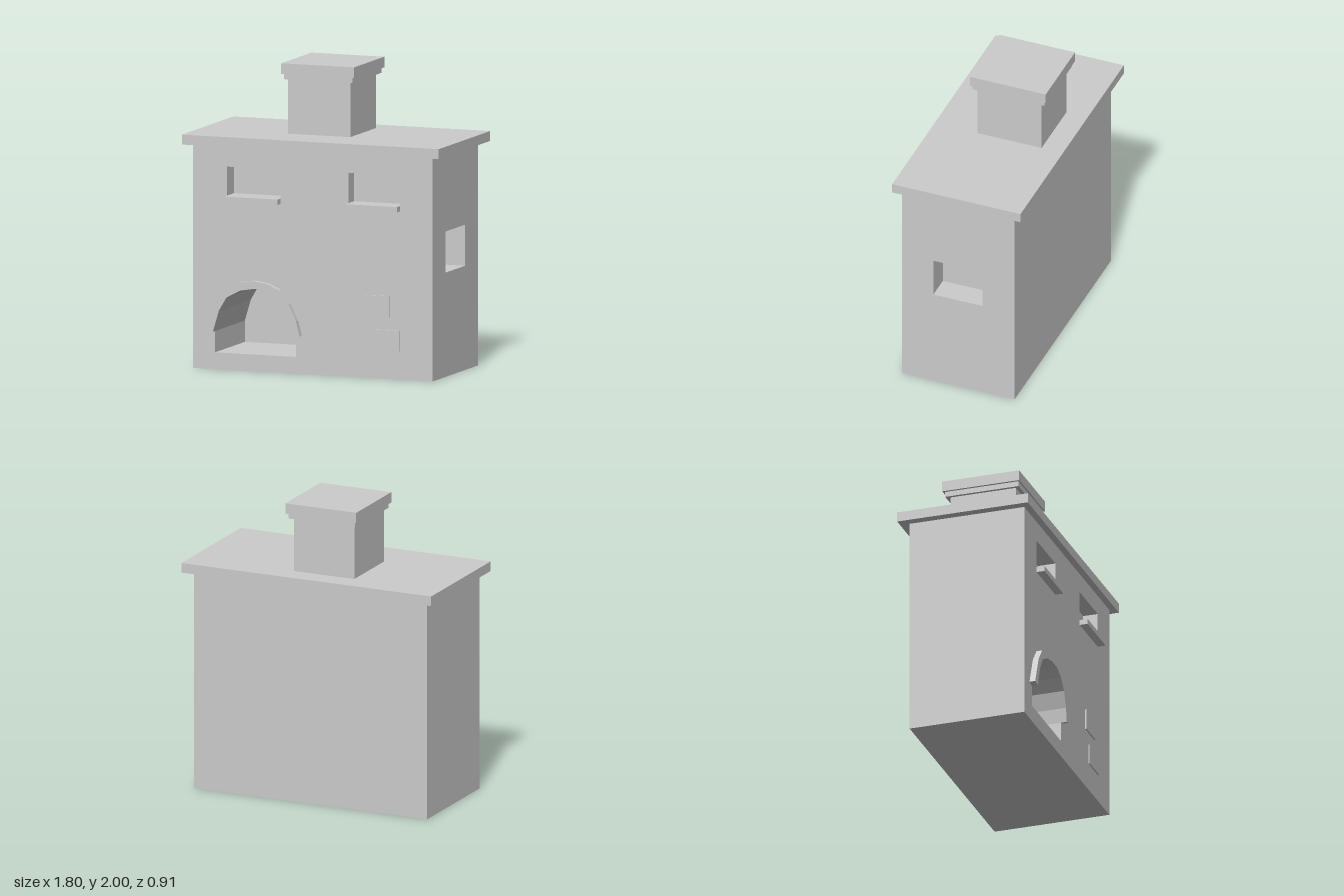
import * as THREE from 'three';

const mat = new THREE.MeshStandardMaterial({ color: 0xcccccc, flatShading: true });

function mesh(name, geo) {
  const m = new THREE.Mesh(geo, mat);
  m.name = name;
  return m;
}

// Box given by its limits on each axis
function block(name, [x0, x1], [y0, y1], [z0, z1]) {
  const m = mesh(name, new THREE.BoxGeometry(x1 - x0, y1 - y0, z1 - z0));
  m.position.set((x0 + x1) / 2, (y0 + y1) / 2, (z0 + z1) / 2);
  return m;
}

const points = (list) => list.map(([x, y]) => new THREE.Vector2(x, y));
const rect = (x0, x1, y0, y1) => points([[x0, y0], [x1, y0], [x1, y1], [x0, y1]]);

// Inward-facing walls and back of a recess; outline runs counter-clockwise
function recess(name, outline, depth) {
  const group = new THREE.Group();
  group.name = name;
  const pos = [];
  outline.forEach((a, i) => {
    const b = outline[(i + 1) % outline.length];
    pos.push(a.x, a.y, 0, b.x, b.y, 0, b.x, b.y, -depth);
    pos.push(a.x, a.y, 0, b.x, b.y, -depth, a.x, a.y, -depth);
  });
  const walls = new THREE.BufferGeometry();
  walls.setAttribute('position', new THREE.Float32BufferAttribute(pos, 3));
  walls.computeVertexNormals();
  const back = mesh(name + 'Back', new THREE.ShapeGeometry(new THREE.Shape(outline)));
  back.position.z = -depth;
  group.add(mesh(name + 'Walls', walls), back);
  return group;
}

// Flat wall facing local +z, pierced by recesses
function wall(name, outline, recesses = []) {
  const group = new THREE.Group();
  group.name = name;
  const shape = new THREE.Shape(outline);
  for (const r of recesses) {
    shape.holes.push(new THREE.Path(r.outline));
    group.add(recess(r.name, r.outline, r.depth));
  }
  group.add(mesh(name + 'Face', new THREE.ShapeGeometry(shape)));
  return group;
}

export function createModel() {
  const model = new THREE.Group();
  model.name = 'stove';
  const W = 0.84, H = 1.47, F = 0.4, B = -0.39;

  // Hearth arch, left to right
  const inner = [[-0.685, 0.25], [-0.643, 0.39], [-0.59, 0.48], [-0.495, 0.53], [-0.4, 0.547],
    [-0.305, 0.545], [-0.23, 0.51], [-0.168, 0.44], [-0.13, 0.335], [-0.117, 0.24]];
  const outer = [[-0.738, 0.26], [-0.67, 0.45], [-0.6, 0.54], [-0.5, 0.583], [-0.4, 0.598],
    [-0.305, 0.583], [-0.22, 0.545], [-0.155, 0.46], [-0.103, 0.35], [-0.077, 0.25]];
  const hearth = points([[-0.685, 0.11], [-0.117, 0.11], ...[...inner].reverse()]);

  // Body walls
  const front = wall('frontWall', rect(-W, W, 0, H), [
    { name: 'hearth', outline: hearth, depth: 0.52 },
    { name: 'rightNiche', outline: rect(-0.6, -0.225, 1.145, 1.335), depth: 0.12 },
    { name: 'leftNiche', outline: rect(0.25, 0.61, 1.14, 1.34), depth: 0.1 },
  ]);
  front.position.z = F;
  const left = wall('leftWall', rect(-F, -B, 0, H), [
    { name: 'sideNiche', outline: rect(-0.18, 0.165, 0.685, 0.955), depth: 0.165 },
  ]);
  left.position.x = W;
  left.rotation.y = Math.PI / 2;
  const right = wall('rightWall', rect(B, F, 0, H));
  right.position.x = -W;
  right.rotation.y = -Math.PI / 2;
  const back = wall('backWall', rect(-W, W, 0, H));
  back.position.z = B;
  back.rotation.y = Math.PI;
  const base = wall('base', rect(-W, W, B, F));
  base.rotation.x = Math.PI / 2;
  model.add(front, left, right, back, base);

  // Raised moulding around the hearth
  const arch = mesh('hearthArch', new THREE.ExtrudeGeometry(
    new THREE.Shape(points([...outer, ...[...inner].reverse()])),
    { depth: 0.04, bevelEnabled: false }));
  arch.position.z = F;
  model.add(arch);

  // Niche shelves and the two thin raised panels
  model.add(
    block('rightShelf', [-0.595, -0.225], [1.11, 1.145], [F, 0.455]),
    block('leftShelf', [0.255, 0.61], [1.105, 1.14], [F, 0.455]),
    block('upperPanel', [0.36, 0.54], [0.405, 0.545], [F, 0.41]),
    block('lowerPanel', [0.425, 0.61], [0.185, 0.32], [F, 0.41]),
  );

  // Top slab and stepped chimney
  model.add(
    block('topSlab', [-0.9, 0.9], [H, 1.535], [-0.455, 0.445]),
    block('chimney', [-0.275, 0.16], [1.535, 1.895], [-0.305, 0.145]),
    block('chimneyCollar', [-0.295, 0.185], [1.895, 1.93], [-0.335, 0.17]),
    block('chimneyCap', [-0.31, 0.2], [1.93, 2], [-0.35, 0.18]),
  );
  return model;
}
